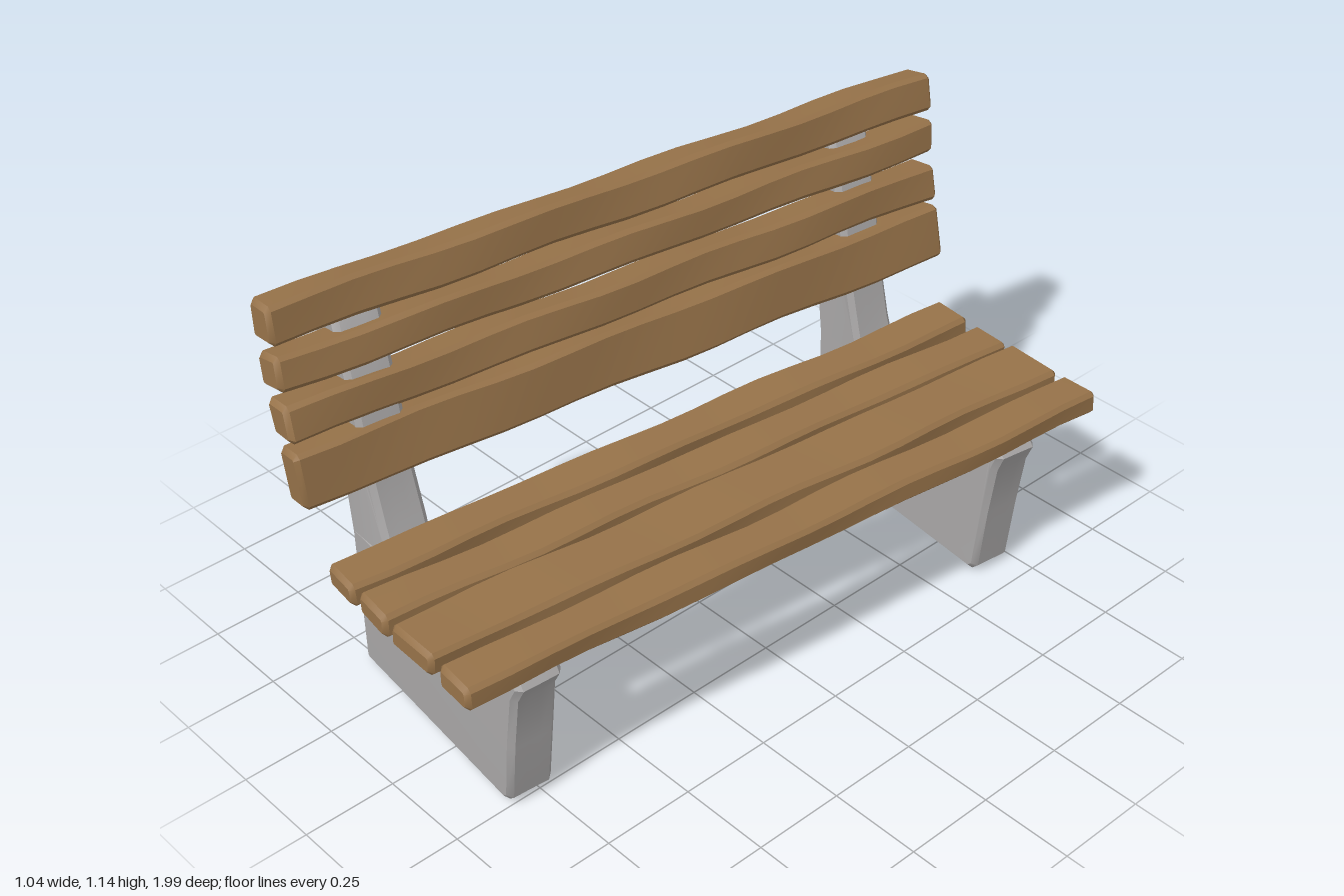
import * as THREE from 'three';
import { toCreasedNormals } from 'three/addons/utils/BufferGeometryUtils.js';

const wood = new THREE.MeshStandardMaterial({ color: 0x967249 });
wood.name = 'wood';
const concrete = new THREE.MeshStandardMaterial({ color: 0xa9a7a7 });
concrete.name = 'concrete';

// Hand-hewn look: a gentle position-based wobble, so shared corners stay joined
function hew(geo, amount, seed) {
  const p = geo.attributes.position;
  for (let i = 0; i < p.count; i++) {
    const x = p.getX(i), y = p.getY(i), z = p.getZ(i);
    p.setXYZ(i,
      x + amount * Math.sin(z * 9 + y * 23 + seed * 2.1),
      y + amount * Math.sin(z * 12 + x * 17 + seed * 3.7),
      z + amount * Math.sin(x * 13 + y * 11 + seed * 1.3));
  }
  return toCreasedNormals(geo, 0.6);
}

// Extrude an outline along z, centred, with worn ends
function extrude(points, length, bevel, steps) {
  const shape = new THREE.Shape(points.map(([x, y]) => new THREE.Vector2(x, y)));
  const geo = new THREE.ExtrudeGeometry(shape, {
    depth: length - 2 * bevel, steps, bevelEnabled: true, bevelSegments: 1,
    bevelSize: bevel, bevelThickness: bevel, bevelOffset: -bevel,
  });
  return geo.translate(0, 0, bevel - length / 2);
}

// Plank with chamfered corners
function plank(name, w, h, length, seed) {
  const a = w / 2, b = h / 2, c = 0.011;
  const outline = [
    [-a + c, -b], [a - c, -b], [a, -b + c], [a, b - c],
    [a - c, b], [-a + c, b], [-a, b - c], [-a, -b + c],
  ];
  const mesh = new THREE.Mesh(hew(extrude(outline, length, 0.012, 18), 0.0035, seed), wood);
  mesh.name = name;
  return mesh;
}

export function createModel() {
  const bench = new THREE.Group();
  bench.name = 'bench';

  // Seat: four slats [back edge, front edge, height of the middle]
  const seat = new THREE.Group();
  seat.name = 'seat';
  [[-0.179, -0.058, 0.451], [-0.03, 0.09, 0.453], [0.105, 0.273, 0.457], [0.3, 0.417, 0.461]]
    .forEach(([x0, x1, y], i) => {
      const slat = plank('seatSlat' + (i + 1), x1 - x0, 0.064, 1.93, i);
      slat.position.set((x0 + x1) / 2, y, 0.002 - i * 0.004);
      slat.rotation.z = 0.02;
      seat.add(slat);
    });

  // Backrest: four planks along the reclined line [bottom, top]
  const backrest = new THREE.Group();
  backrest.name = 'backrest';
  [[0.61, 0.765], [0.78, 0.882], [0.907, 1.002], [1.023, 1.13]].forEach(([y0, y1], i) => {
    const y = (y0 + y1) / 2;
    const board = plank('backPlank' + (i + 1), 0.092, y1 - y0 - 0.006, 1.95, i + 5);
    board.position.set(-0.235 - (y - 0.61) * 0.198, y, 0.012);
    board.rotation.set(0, -0.013, 0.195, 'YXZ');
    backrest.add(board);
  });

  // Concrete supports: leg and reclined upright in one slab
  const outline = [
    [-0.332, 0.014], [-0.318, 0], [0.322, 0], [0.342, 0.02], [0.362, 0.2], [0.378, 0.35],
    [0.402, 0.4], [0.375, 0.435], [-0.16, 0.435], [-0.18, 0.5], [-0.212, 0.61],
    [-0.242, 0.78], [-0.318, 1.05], [-0.33, 1.062], [-0.425, 1.07], [-0.437, 1.055],
    [-0.38, 0.78], [-0.335, 0.42],
  ];
  [0.75, -0.72].forEach((z, i) => {
    const geo = hew(extrude(outline, 0.127, 0.014, 3), 0.003, i + 11);
    const support = new THREE.Mesh(geo, concrete);
    support.name = i ? 'rightSupport' : 'leftSupport';
    support.position.set(0, 0.003, z);
    bench.add(support);
  });

  bench.add(seat, backrest);
  // The bench stands slightly askew
  bench.rotation.y = -0.105;

  const model = new THREE.Group();
  model.name = 'parkBench';
  model.add(bench);
  return model;
}
